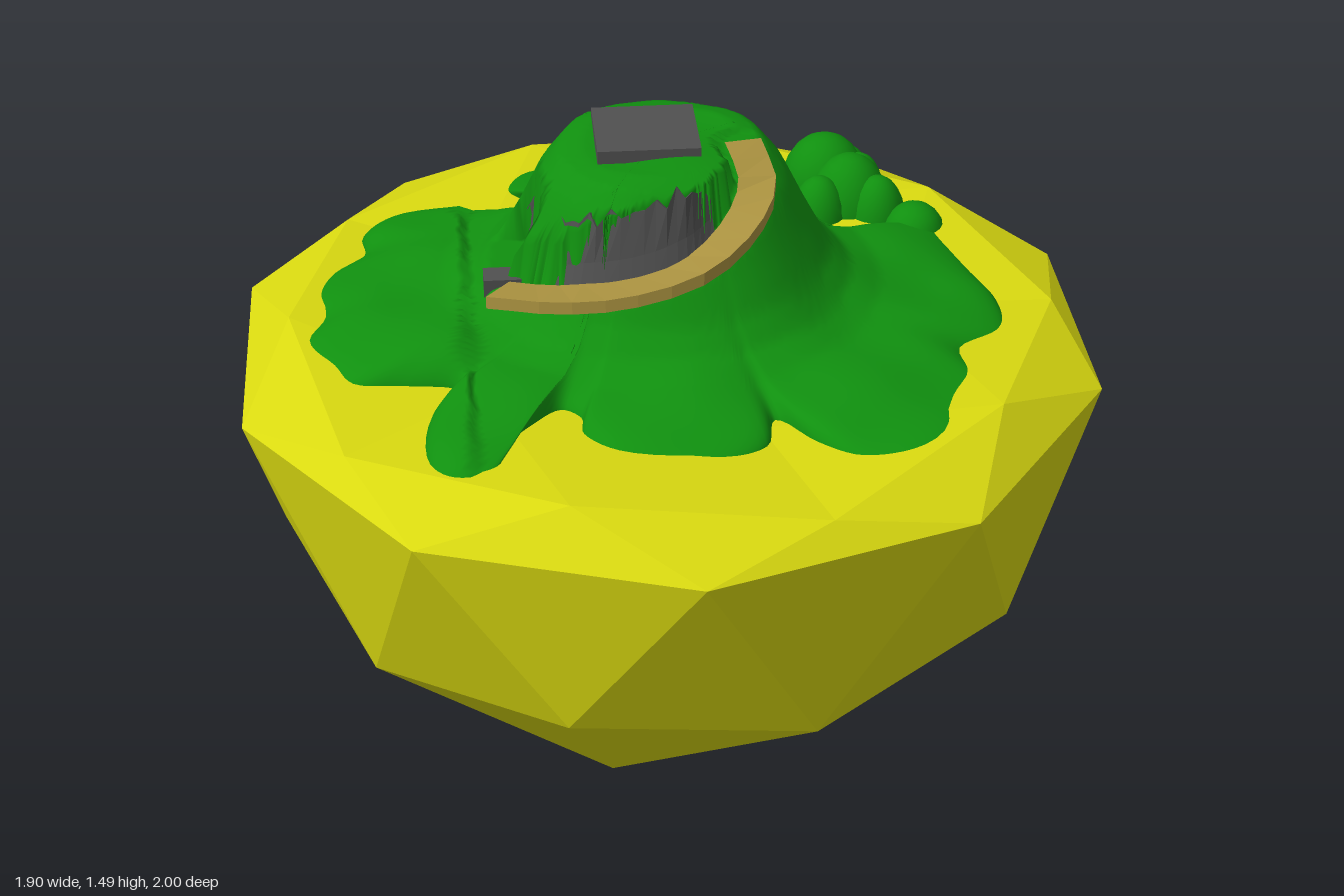
import * as THREE from 'three';

const mat = (color, flatShading = false) =>
  new THREE.MeshStandardMaterial({ color, flatShading, side: THREE.DoubleSide });
const grass = mat(0x10900f), sand = mat(0xd9d910, true), rock = mat(0x505050, true), dirt = mat(0xa8903f, true);

function named(name, geometry, material) {
  const mesh = new THREE.Mesh(geometry, material);
  mesh.name = name;
  return mesh;
}

// Surface through rows of points, all rows equally long
function loft(rows) {
  const n = rows[0].length, index = [];
  for (let i = 0; i < rows.length - 1; i++)
    for (let j = 0; j < n - 1; j++) {
      const a = i * n + j, b = a + n;
      index.push(a, b, a + 1, b, b + 1, a + 1);
    }
  const g = new THREE.BufferGeometry();
  g.setAttribute('position', new THREE.Float32BufferAttribute(rows.flat(2), 3));
  g.setIndex(index);
  g.computeVertexNormals();
  return g;
}

const curve = (pts, closed = false) =>
  new THREE.CatmullRomCurve3(pts.map(p => new THREE.Vector3(...p)), closed, 'centripetal');

function lerpTable(table, r) {
  for (let i = 1; i < table.length; i++) {
    const [r0, h0] = table[i - 1], [r1, h1] = table[i];
    if (r <= r1) return h0 + (h1 - h0) * (r - r0) / (r1 - r0);
  }
  return table[table.length - 1][1];
}

// Winding path up the front of the hill
const pathCurve = curve([[-0.38, 1.19, 0.08], [-0.25, 1.235, 0.19], [-0.1, 1.265, 0.23], [0.05, 1.31, 0.22],
  [0.15, 1.365, 0.15], [0.2, 1.42, 0.06], [0.18, 1.465, -0.06]]);
const pathPoints = pathCurve.getPoints(60);

// Hill height over the distance from its axis
const hillProfile = [[0, 1.46], [0.18, 1.465], [0.23, 1.45], [0.28, 1.39], [0.33, 1.29], [0.38, 1.2],
  [0.43, 1.15], [0.5, 1.125], [0.62, 1.115], [0.9, 1.1]];
const centre = [0, -0.08];

function hillHeight(x, z) {
  let h = lerpTable(hillProfile, Math.hypot(x - centre[0], z - centre[1]));
  h += 0.008 * Math.sin(x * 17 + 1) * Math.cos(z * 15);
  if (x < -0.45) h += 0.02;
  // Cut the recess on the right flank and the ledge of the path
  if (x > -0.43 && x < -0.28 && z > -0.17 && z < 0.03) h = Math.min(h, 1.18);
  let best = 0.062, ledge = null;
  for (const p of pathPoints) {
    const d = Math.hypot(p.x - x, p.z - z);
    if (d < best) { best = d; ledge = p.y - 0.012; }
  }
  return ledge === null ? h : Math.min(h, ledge);
}

// Grass outline, lobe by lobe, as x and z
const outline = [[0.77, 0], [0.76, 0.15], [0.66, 0.24], [0.69, 0.4], [0.63, 0.57], [0.5, 0.67], [0.38, 0.66],
  [0.28, 0.58], [0.2, 0.48], [0.17, 0.58], [0.05, 0.64], [-0.15, 0.6], [-0.22, 0.52], [-0.22, 0.44], [-0.26, 0.4],
  [-0.33, 0.47], [-0.4, 0.58], [-0.43, 0.67], [-0.5, 0.67], [-0.55, 0.6], [-0.54, 0.4], [-0.48, 0.3],
  [-0.6, 0.28], [-0.72, 0.27], [-0.77, 0.2], [-0.84, 0.1], [-0.8, 0], [-0.81, -0.12], [-0.77, -0.23],
  [-0.69, -0.32], [-0.69, -0.42], [-0.62, -0.5], [-0.45, -0.5], [-0.37, -0.42], [-0.29, -0.53], [-0.35, -0.62],
  [-0.32, -0.71], [-0.18, -0.74], [0.02, -0.78], [0.22, -0.75], [0.26, -0.64], [0.24, -0.54], [0.37, -0.5],
  [0.44, -0.35], [0.56, -0.3], [0.68, -0.35], [0.71, -0.25], [0.74, -0.12]];

function buildHill() {
  const rim = curve(outline.map(([x, z]) => [x, 0, z]), true).getPoints(240);
  const rings = 64, rows = [];
  for (let i = 0; i <= rings; i++) {
    const t = 1 - Math.pow(1 - i / rings, 1.2);
    rows.push(rim.map(p => {
      const x = centre[0] + (p.x - centre[0]) * t, z = centre[1] + (p.z - centre[1]) * t;
      const edge = Math.sqrt(Math.max(0, 1 - Math.pow(t, 7)));
      return [x, 1.045 + (hillHeight(x, z) - 1.045) * edge, z];
    }));
  }
  // Rim runs from +x to +z, so reverse each row to face upwards
  rows.forEach(r => r.reverse());
  return loft(rows);
}

// Faceted bowl: lower half of a geodesic ball with a nearly flat lid
function buildBowl() {
  const g = new THREE.IcosahedronGeometry(1, 1);
  g.rotateX(-Math.atan((1 + Math.sqrt(5)) / 2));
  g.rotateY(Math.PI / 2);
  const p = g.attributes.position;
  const lid = [[0, 0], [0.447, 0.055], [0.526, 0.094], [0.851, 0.062], [1, 0.06]];
  for (let i = 0; i < p.count; i++) {
    const y = p.getY(i);
    p.setY(i, 1 + (y > 0.01 ? lerpTable(lid, y) : y));
  }
  g.computeVertexNormals();
  return g;
}

// Path strip with a short skirt on its outer side
function buildPath() {
  const rows = [[], [], []], n = 14;
  for (let i = 0; i <= n; i++) {
    const p = pathCurve.getPoint(i / n), d = pathCurve.getTangent(i / n);
    const l = Math.hypot(d.x, d.z), w = 0.042, ox = -d.z / l * w, oz = d.x / l * w;
    rows[0].push([p.x - ox, p.y, p.z - oz]);
    rows[1].push([p.x + ox, p.y, p.z + oz]);
    rows[2].push([p.x + ox, p.y - 0.03, p.z + oz]);
  }
  return loft([rows[2], rows[1], rows[0]]);
}

// Jagged cliff behind the path and around the recess
function buildCliff() {
  const foot = curve([[-0.36, 1.18, -0.19], [-0.3, 1.18, -0.16], [-0.29, 1.19, 0], [-0.27, 1.21, 0.11], [-0.2, 1.24, 0.17],
    [-0.08, 1.265, 0.2], [0.03, 1.3, 0.19], [0.1, 1.35, 0.14]]);
  const rise = [[0, 0.03], [0.15, 0.15], [0.4, 0.14], [0.6, 0.14], [0.85, 0.15], [1, 0.07]];
  const rows = [[], [], [], []], n = 30;
  for (let i = 0; i <= n; i++) {
    const t = i / n, p = foot.getPoint(t), h = lerpTable(rise, t), jag = (i % 2) * 0.025 + 0.012 * Math.sin(i * 4.1);
    const q = (k, y) => [p.x + (centre[0] - p.x) * k, y, p.z + (centre[1] - p.z) * k];
    rows[0].push(q(0, p.y - 0.02));
    rows[1].push(q(0.06, p.y + h * 0.35));
    rows[2].push(q(0.1 + jag, p.y + h + jag * 0.8));
    rows[3].push(q(0.3, p.y + h - 0.01));
  }
  return loft(rows.reverse());
}

export function createModel() {
  const model = new THREE.Group();
  model.name = 'hillIsland';
  model.add(named('bowl', buildBowl(), sand));
  model.add(named('hill', buildHill(), grass));
  model.add(named('path', buildPath(), dirt));
  model.add(named('cliff', buildCliff(), rock));

  // Flat slab on the summit
  const slab = named('summitSlab', new THREE.BoxGeometry(0.23, 0.03, 0.22), rock);
  slab.position.set(-0.035, 1.475, -0.09);
  model.add(slab);

  // Stone step beside the recess
  const step = named('stoneStep', new THREE.BoxGeometry(0.12, 0.1, 0.06), rock);
  step.position.set(-0.35, 1.145, 0.02);
  model.add(step);

  // Bushy mounds at the back: x, z, radius, top
  const mounds = new THREE.Group();
  mounds.name = 'mounds';
  for (const [x, z, r, top] of [[0.45, -0.63, 0.105, 1.18], [0.49, -0.48, 0.1, 1.2], [0.41, -0.43, 0.07, 1.17],
    [0.55, -0.42, 0.07, 1.17], [0.63, -0.35, 0.075, 1.13], [0.49, -0.69, 0.08, 1.12], [0.53, -0.6, 0.06, 1.14]]) {
    const m = named('mound', new THREE.SphereGeometry(1, 20, 12), grass);
    m.scale.set(r, top - 1.05, r);
    m.position.set(x, 1.05, z);
    mounds.add(m);
  }
  model.add(mounds);
  return model;
}
